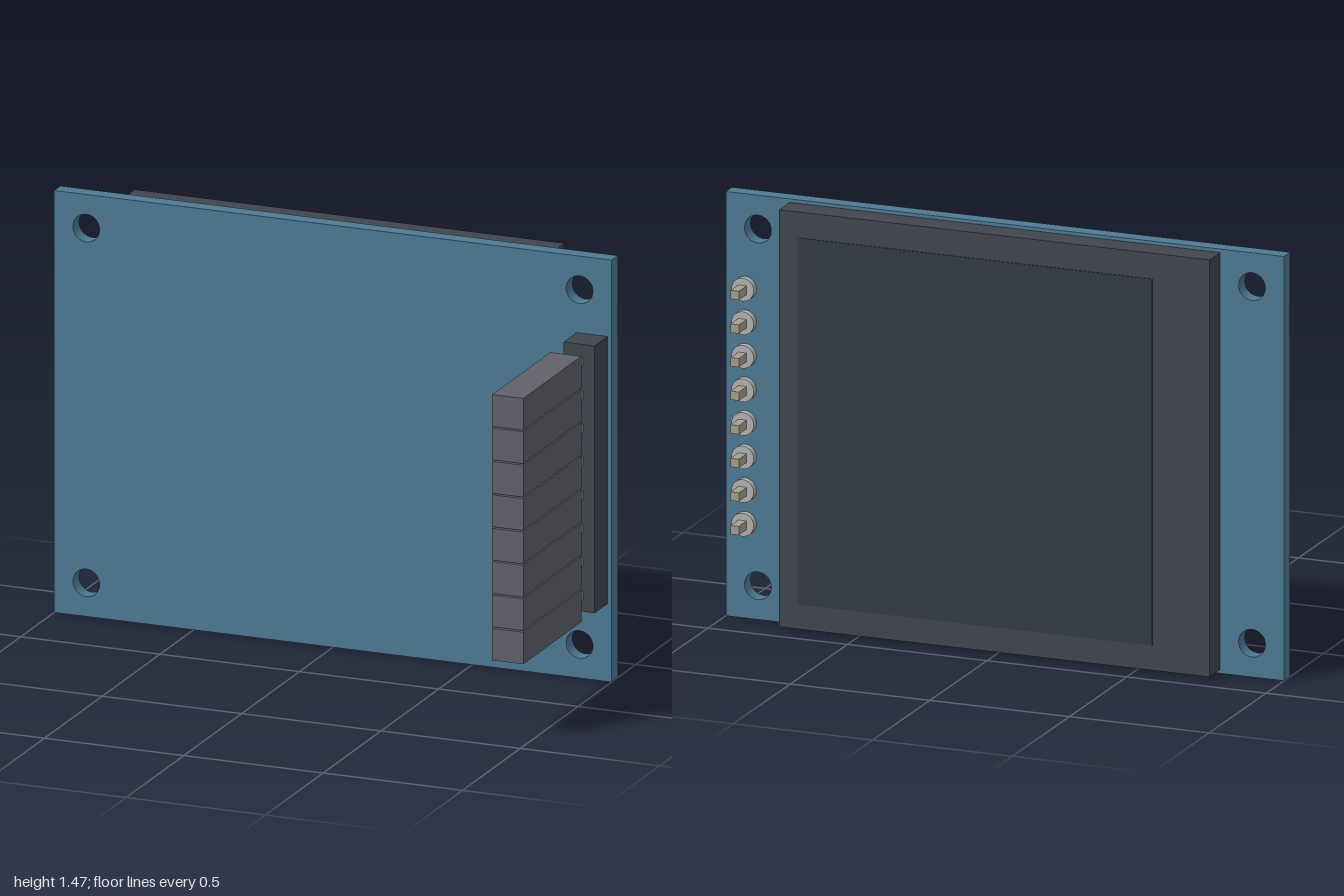
import * as THREE from 'three';

const paint = (color) => new THREE.MeshStandardMaterial({ color });

export function createModel() {
  const model = new THREE.Group();
  const blue = paint(0x4f7a94), dark = paint(0x41464f), glass = paint(0x343c45);
  const grey = paint(0x60616a), brass = paint(0xaaa08c), solder = paint(0xb4b4b4);

  const add = (name, geometry, material, x = 0, y = 0, z = 0) => {
    const mesh = new THREE.Mesh(geometry, material);
    mesh.name = name;
    mesh.position.set(x, y, z);
    model.add(mesh);
    return mesh;
  };
  // Box given by its limits along each axis
  const block = (name, material, [x0, x1], [y0, y1], [z0, z1]) =>
    add(name, new THREE.BoxGeometry(x1 - x0, y1 - y0, z1 - z0), material,
      (x0 + x1) / 2, (y0 + y1) / 2, (z0 + z1) / 2);

  // Circuit board with four mounting holes
  const height = 1.467, back = -0.344, front = -0.29;
  const outline = new THREE.Shape([
    new THREE.Vector2(-1, 0), new THREE.Vector2(1, 0),
    new THREE.Vector2(1, height), new THREE.Vector2(-1, height),
  ]);
  for (const x of [-0.885, 0.885]) {
    for (const y of [0.117, height - 0.117]) {
      outline.holes.push(new THREE.Path().absarc(x, y, 0.048, 0, Math.PI * 2, true));
    }
  }
  add('circuitBoard', new THREE.ExtrudeGeometry(outline,
    { depth: front - back, bevelEnabled: false, curveSegments: 24 }), blue, 0, 0, back);

  // Display on the back, with a thin active area slightly proud of it
  block('displayModule', dark, [-0.771, 0.771], [0.013, 1.455], [-0.437, back]);
  block('displayArea', glass, [-0.566, 0.704], [0.099, 1.366], [-0.44, -0.43]);

  // Pin header: base strip, pins, solder joints and separate plug housings
  const rows = 8, pitch = 0.1161, pinX = 0.93, halfWidth = 0.056, bottom = 0.271;
  const across = [pinX - halfWidth, pinX + halfWidth];
  block('headerStrip', dark, across, [bottom, bottom + rows * pitch], [-0.177, front]
    .sort((a, b) => a - b));

  const joint = new THREE.CylinderGeometry(0.04, 0.04, 0.024, 24).rotateX(Math.PI / 2);
  for (let i = 0; i < rows; i++) {
    const y = bottom + (i + 0.5) * pitch;
    block('pin', brass, [pinX - 0.015, pinX + 0.015], [y - 0.015, y + 0.015], [-0.437, 0]);
    add('solderJoint', joint, solder, pinX, y, back - 0.012);
    block('plugHousing', grey, across, [y - 0.0555, y + 0.0555], [-0.063, 0.44]);
  }
  return model;
}
